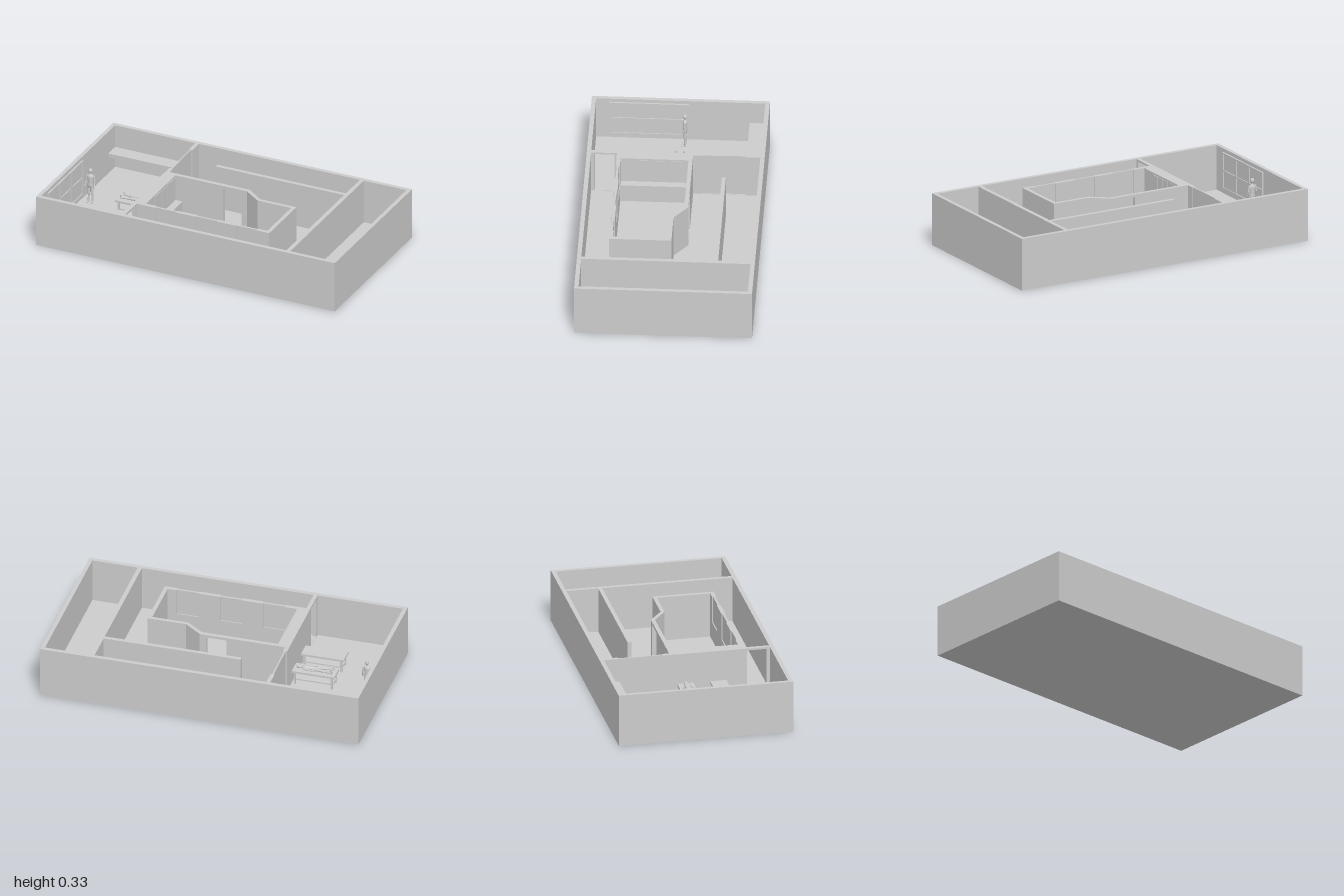
import * as THREE from 'three';

const H = 0.327, FLOOR = 0.045, X = 1, Z = 0.5375, T = 0.025, ZI = 0.511;
const mat = new THREE.MeshStandardMaterial({ color: 0xcccccc });

function add(parent, name, geometry) {
  const mesh = new THREE.Mesh(geometry, mat);
  mesh.name = name;
  parent.add(mesh);
  return mesh;
}

// Box given by its limits on each axis
function box(parent, name, x0, x1, y0, y1, z0, z1) {
  const mesh = add(parent, name, new THREE.BoxGeometry(x1 - x0, y1 - y0, z1 - z0));
  mesh.position.set((x0 + x1) / 2, (y0 + y1) / 2, (z0 + z1) / 2);
  return mesh;
}

const toVecs = points => points.map(p => new THREE.Vector2(...p));

// Upright wall along 'x' or 'z', with openings [u0, u1, y0, y1] and
// notches [u0, u1, y0] that reach the top, listed from high u to low u
function wall(parent, name, axis, u0, u1, w0, w1, openings = [], notches = []) {
  const outline = [[u0, FLOOR], [u1, FLOOR], [u1, H]];
  for (const [a, b, y] of notches) outline.push([b, H], [b, y], [a, y], [a, H]);
  outline.push([u0, H]);
  const shape = new THREE.Shape(toVecs(outline));
  for (const [a, b, y0, y1] of openings)
    shape.holes.push(new THREE.Path(toVecs([[a, y0], [b, y0], [b, y1], [a, y1]])));
  const geo = new THREE.ExtrudeGeometry(shape, { depth: w1 - w0, bevelEnabled: false });
  if (axis === 'x') geo.translate(0, 0, w0);
  else geo.rotateY(-Math.PI / 2).translate(w1, 0, 0);
  return add(parent, name, geo);
}

// Floor-plan polygon of [x, z] points, counterclockwise from above, raised to the wall height
function plan(parent, name, points, holePoints) {
  const flip = pts => toVecs(pts.map(([x, z]) => [x, -z]));
  const shape = new THREE.Shape(flip(points));
  if (holePoints) shape.holes.push(new THREE.Path(flip(holePoints)));
  const geo = new THREE.ExtrudeGeometry(shape, { depth: H - FLOOR, bevelEnabled: false });
  return add(parent, name, geo.rotateX(-Math.PI / 2).translate(0, FLOOR, 0));
}

// Rounded limb between two points
function limb(parent, name, a, b, radius) {
  const from = new THREE.Vector3(...a), to = new THREE.Vector3(...b);
  const dir = to.clone().sub(from);
  const mesh = add(parent, name, new THREE.CapsuleGeometry(radius, dir.length(), 4, 10));
  mesh.position.copy(from).add(to).multiplyScalar(0.5);
  mesh.quaternion.setFromUnitVectors(new THREE.Vector3(0, 1, 0), dir.normalize());
}

// Human figure, 0.23 tall, feet at the origin and facing +z
function figure(name, spread, reach) {
  const g = new THREE.Group();
  g.name = name;
  const torso = add(g, 'torso', new THREE.LatheGeometry(toVecs(
    [[0, 0.1], [0.017, 0.105], [0.019, 0.118], [0.015, 0.14], [0.021, 0.17], [0.019, 0.184], [0.007, 0.192], [0, 0.193]]), 16));
  torso.scale.z = 0.7;
  limb(g, 'neck', [0, 0.187, 0], [0, 0.2, 0], 0.006);
  const head = add(g, 'head', new THREE.SphereGeometry(0.0125, 14, 10));
  head.position.y = 0.214;
  head.scale.y = 1.25;
  for (const s of [-1, 1]) {
    const knee = [s * (0.01 + spread * 0.4), 0.06, 0], elbow = [s * 0.028, 0.145, 0];
    limb(g, 'thigh', [s * 0.01, 0.108, 0], knee, 0.0085);
    limb(g, 'shin', knee, [s * (0.01 + spread), 0.01, -0.001], 0.006);
    limb(g, 'foot', [s * (0.01 + spread), 0.005, -0.002], [s * (0.012 + spread), 0.005, 0.016], 0.005);
    limb(g, 'upperArm', [s * 0.022, 0.179, 0], elbow, 0.0058);
    limb(g, 'forearm', elbow, [s * 0.031, 0.11, reach], 0.0047);
  }
  return g;
}

// Treatment table with four legs and a lower shelf
function table(name, z0, z1) {
  const g = new THREE.Group(), x0 = -0.71, x1 = -0.442, leg = 0.012;
  g.name = name;
  box(g, 'tableTop', x0, x1, 0.122, 0.135, z0, z1);
  box(g, 'lowerShelf', x0 + 0.01, x1 - 0.01, 0.073, 0.081, z0 + 0.008, z1 - 0.008);
  for (const x of [x0 + 0.012, x1 - 0.012 - leg])
    for (const z of [z0 + 0.005, z1 - 0.005 - leg]) box(g, 'leg', x, x + leg, FLOOR, 0.122, z, z + leg);
  return g;
}

export function createModel() {
  const root = new THREE.Group();
  root.name = 'buildingInterior';
  box(root, 'floor', -X, X, 0, FLOOR, -Z, Z);

  // Outer shell
  const ring = (x, z) => [[-x, z], [x, z], [x, -z], [-x, -z]];
  plan(root, 'outerWalls', ring(X, Z), ring(X - T, ZI));

  // Partitions dividing the long plan, the left one with a doorway and a sliding door
  wall(root, 'leftPartition', 'z', -ZI, ZI, -0.439, -0.414,
    [[0.37, 0.49, FLOOR + 0.002, 0.315]], [[-0.42, -0.15, FLOOR + 0.002]]);
  const leaf = box(root, 'slidingDoor', -0.432, -0.422, FLOOR, H - 0.001, -0.47, -0.15);
  leaf.rotation.y = 0.02;
  wall(root, 'rightPartition', 'z', -ZI, ZI, 0.664, 0.69);
  wall(root, 'corridorWall', 'x', -0.196, 0.664, -0.315, -0.29);

  // Central room with a chamfered corner
  const room = new THREE.Group();
  room.name = 'centralRoom';
  root.add(room);
  box(room, 'thickSideWall', -0.414, -0.363, FLOOR, H, -0.105, 0.355);
  wall(room, 'backWall', 'x', -0.363, 0.115, -0.105, -0.08, [[-0.045, 0.08, FLOOR + 0.002, 0.31]]);
  plan(room, 'angledWall', [[0.115, -0.08], [0.225, 0.001], [0.45, 0.001], [0.45, 0.33],
    [0.474, 0.33], [0.474, -0.022], [0.232, -0.022], [0.122, -0.105], [0.115, -0.105]]);

  // Window wall: notches down to the sills, each closed by a thin pane
  const windows = [0.255, -0.018, -0.288].map(x => [x, x + 0.138, 0.16]);
  wall(room, 'windowWall', 'x', -0.363, 0.474, 0.33, 0.355, [], windows);
  for (const [a, b, sill] of windows) box(room, 'windowPane', a, b, sill, H, 0.336, 0.349);

  // Counter and wall cabinets in the central room
  box(room, 'counter', -0.363, -0.316, FLOOR, 0.16, -0.08, 0.33);
  for (let i = 0; i < 5; i++) {
    const z = -0.075 + i * 0.06;
    box(room, 'cabinetDoor', -0.363, -0.36, 0.19, 0.315, z, z + 0.056);
  }

  // Left room: shelf across the back
  box(root, 'backShelf', -0.975, -0.439, 0.155, 0.18, -ZI, -0.416);

  // Left room: framed panels on the end wall, three columns by two rows
  const panels = new THREE.Group();
  panels.name = 'wallPanels';
  root.add(panels);
  const z0 = -0.05, z1 = 0.43, y0 = 0.075, y1 = 0.305, bar = 0.01;
  box(panels, 'panelBack', -0.976, -0.971, y0, y1, z0, z1);
  for (let i = 0; i <= 3; i++) {
    const z = z0 + i * (z1 - z0 - bar) / 3;
    box(panels, 'upright', -0.971, -0.964, y0, y1, z, z + bar);
  }
  for (let i = 0; i <= 2; i++) {
    const y = y0 + i * (y1 - y0 - bar) / 2;
    box(panels, 'crossbar', -0.971, -0.965, y, y + bar, z0, z1);
  }

  // Left room: tables and people
  root.add(table('firstTable', -0.06, 0.038), table('secondTable', 0.142, 0.242));
  const standing = figure('standingPerson', 0.003, 0.014);
  standing.position.set(-0.908, FLOOR, -0.03);
  const lying = figure('lyingPerson', 0.012, 0.003);
  lying.rotation.set(-Math.PI / 2, 0, -Math.PI / 2);
  lying.position.set(-0.69, 0.147, -0.013);
  root.add(standing, lying);
  return root;
}
